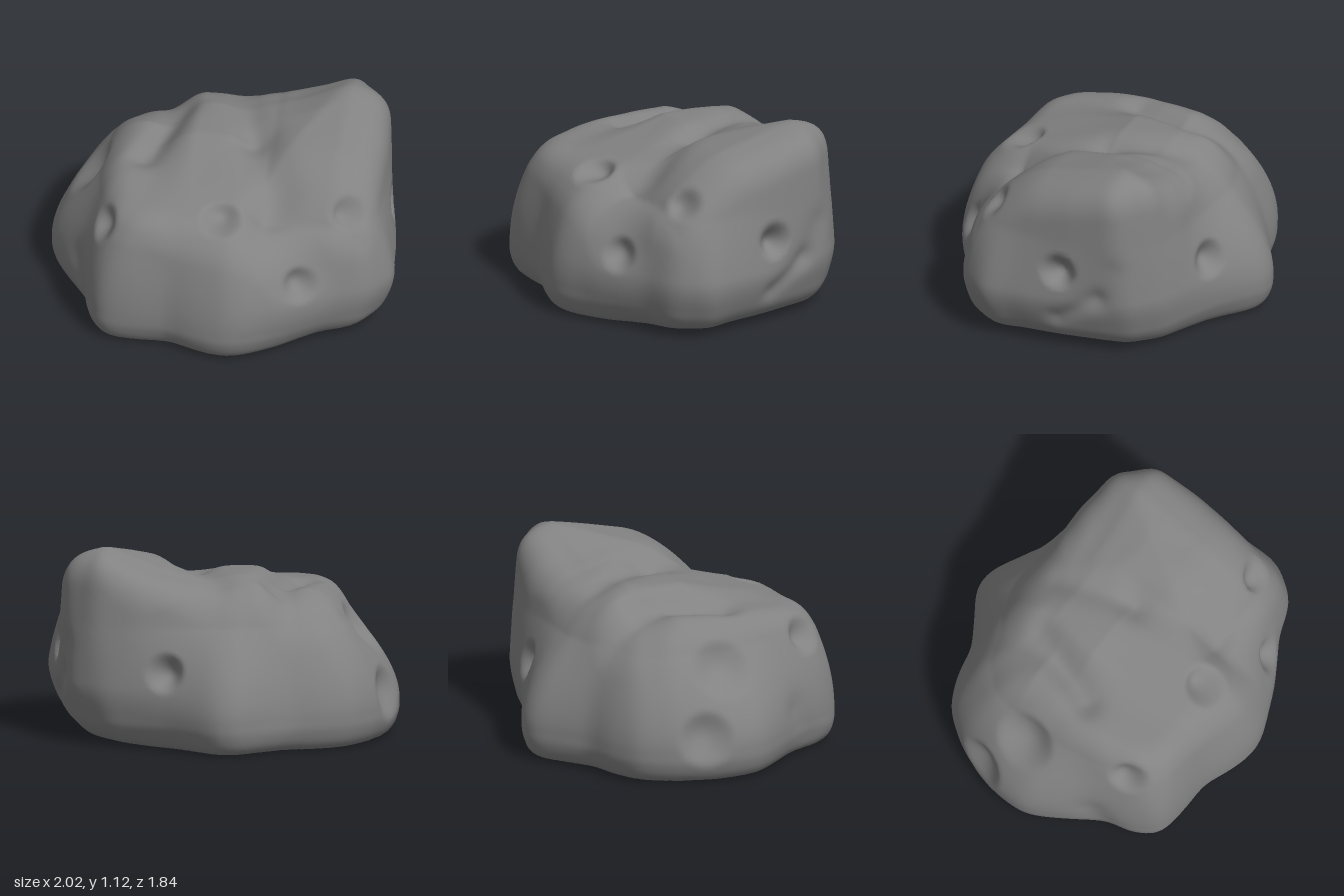
import * as THREE from 'three';
import { mergeVertices } from 'three/addons/utils/BufferGeometryUtils.js';

const V = (x, y, z) => new THREE.Vector3(x, y, z);
const { smoothstep, lerp, clamp } = THREE.MathUtils;
const CORE = V(0, 0.28, 0);

// Plan outlines (x, z) of the foot and, higher up, of the shoulder
const FOOT = outline([
  [0.97, -0.08], [0.99, 0.1], [1.0, 0.28], [1.03, 0.38], [0.89, 0.59], [0.7, 0.65], [0.42, 0.82], [0.22, 0.91],
  [0.1, 0.93], [-0.08, 0.88], [-0.25, 0.81], [-0.48, 0.81], [-0.64, 0.79], [-0.73, 0.65], [-0.81, 0.42], [-0.95, 0.2],
  [-1.01, 0.08], [-1.01, -0.08], [-0.98, -0.25], [-0.89, -0.45], [-0.77, -0.61], [-0.6, -0.69], [-0.42, -0.73],
  [-0.1, -0.93], [0.02, -0.92], [0.2, -0.81], [0.3, -0.76], [0.5, -0.69], [0.68, -0.63], [0.86, -0.48], [0.91, -0.33],
]);
const SHOULDER = outline([
  [0.93, -0.1], [0.93, 0.1], [0.91, 0.32], [0.84, 0.5], [0.58, 0.58], [0.36, 0.68], [0.1, 0.78], [-0.15, 0.75],
  [-0.5, 0.72], [-0.62, 0.62], [-0.68, 0.4], [-0.72, 0.15], [-0.72, -0.1], [-0.69, -0.35], [-0.56, -0.52],
  [-0.3, -0.6], [-0.08, -0.66], [0.2, -0.64], [0.5, -0.63], [0.72, -0.57], [0.89, -0.4],
]);

// Turns a closed outline into a softened table of radii by angle
function outline(points) {
  const n = 160;
  const raw = Array.from({ length: n }, (_, i) => {
    const c = Math.cos((i / n) * 2 * Math.PI), s = Math.sin((i / n) * 2 * Math.PI);
    let radius = 0;
    points.forEach(([ax, az], k) => {
      const [bx, bz] = points[(k + 1) % points.length];
      const da = az * c - ax * s, db = bz * c - bx * s;
      if (da * db > 0 || da === db) return;
      const t = da / (da - db);
      radius = Math.max(radius, lerp(ax, bx, t) * c + lerp(az, bz, t) * s);
    });
    return radius;
  });
  const weights = [1, 2, 3, 2, 1];
  return raw.map((_, i) => weights.reduce((sum, w, k) => sum + (w / 9) * raw[(i + n + k - 2) % n], 0));
}

function radiusAt(table, angle) {
  const n = table.length;
  const u = ((angle / (2 * Math.PI)) * n + n) % n;
  const i = Math.floor(u);
  return lerp(table[i % n], table[(i + 1) % n], u - i);
}

function smoothMax(a, b, k) {
  const h = Math.max(k - Math.abs(a - b), 0) / k;
  return Math.max(a, b) + h * h * k * 0.25;
}

// Distance from a point to a segment
const line = new THREE.Line3(), near = V(0, 0, 0);
function segmentDistance(p, a, b) {
  line.set(a, b).closestPointToPoint(p, true, near);
  return near.distanceTo(p);
}

// Furrows between the lobes of the top: two ends, depth, width
const FURROWS = [
  [V(-0.28, 0, -0.3), V(-0.46, 0, 0.12), 0.05, 0.09],
  [V(0.02, 0, -0.42), V(0.16, 0, 0.0), 0.03, 0.09],
  [V(0.18, 0, 0.02), V(0.34, 0, 0.38), 0.05, 0.12],
];

// Height of the top: low left lobe, middle lobe and high right lobe
function topHeight(x, z) {
  const front = Math.max(0, z);
  const left = 0.865 - 0.1 * front - 0.35 * Math.max(0, -z - 0.2);
  const middle = 0.955 - 0.27 * front - 0.25 * Math.max(0, -z - 0.3);
  // the right lobe tips away from a diagonal crest
  const pastCrest = Math.max(0, 0.87 * (x - 0.6) + 0.5 * (z + 0.3));
  const right = 1.0 + 0.125 * clamp((x - 0.26) / 0.4, 0, 1) - 0.28 * pastCrest
    - 0.09 * Math.max(0, z + 0.3) - 1.2 * clamp(z - 0.1, 0, 0.4) ** 2 - 0.25 * Math.max(0, -z - 0.35);
  let h = lerp(left, middle, smoothstep(x, -0.42, -0.18));
  h = lerp(h, right, smoothstep(x, 0.1, 0.32));
  const flat = V(x, 0, z);
  for (const [a, b, depth, width] of FURROWS) {
    h -= depth * Math.exp(-((segmentDistance(flat, a, b) / width) ** 2));
  }
  return h;
}

// Negative inside the plain boulder, positive outside
function boulder(p) {
  const angle = Math.atan2(p.z, p.x), rho = Math.hypot(p.x, p.z);
  const t = Math.max(0, (p.y - 0.2) / 0.5);
  const bend = t < 1 ? t ** 1.7 : 1 + 1.1 * (t - 1);
  let r = lerp(radiusAt(FOOT, angle), radiusAt(SHOULDER, angle), bend);
  r -= 0.1 * Math.max(0, Math.cos(angle)) * (1 - smoothstep(p.y, 0, 0.36)); // undercut right foot
  r -= 0.035 * (1 - smoothstep(p.y, 0, 0.15));
  const body = smoothMax(rho - r, p.y - topHeight(p.x, p.z), 0.16);
  return smoothMax(body, 0.035 * smoothstep(p.x, 0.3, 0.9) - p.y, 0.08);
}

// First surface point from the core in one direction
function castOut(dir) {
  const p = V(0, 0, 0);
  const at = (s) => boulder(p.copy(dir).multiplyScalar(s).add(CORE));
  let lo = 0, hi = 0.1;
  while (at(hi) < 0 && hi < 2) { lo = hi; hi += 0.04; }
  for (let i = 0; i < 14; i++) {
    const mid = (lo + hi) / 2;
    if (at(mid) < 0) lo = mid; else hi = mid;
  }
  at(lo);
  return p;
}

// Pits and broad hollows: approximate place, radius, depth
const PITS = [
  [V(0.97, 0.53, -0.07), 0.11, 0.1],
  [V(0.32, 0.46, -0.74), 0.12, 0.08],
  [V(0.52, 0.45, 0.72), 0.11, 0.06],
  [V(0.04, 0.74, 0.54), 0.13, 0.08],
  [V(-0.57, 0.63, 0.5), 0.12, 0.07],
  [V(0.75, 0.77, 0.42), 0.11, 0.07],
  [V(-0.77, 0.6, -0.06), 0.19, 0.065],
  [V(-0.93, 0.27, -0.25), 0.17, 0.07],
  [V(0.4, 1.0, -0.42), 0.3, 0.05],
  [V(0.46, 0.55, 0.66), 0.24, 0.025],
];
// Gouges: two ends, width, depth
const GOUGES = [
  [V(0.96, 0.22, -0.06), V(0.93, 0.38, -0.3), 0.06, 0.025],
  [V(0.93, 0.38, -0.3), V(0.88, 0.56, -0.38), 0.08, 0.015],
  [V(-0.8, 0.28, 0.42), V(-0.74, 0.1, 0.5), 0.1, 0.02],
];

const onSurface = (q) => castOut(q.clone().sub(CORE).normalize());

function createBoulderGeometry() {
  let geo = new THREE.IcosahedronGeometry(1, 44);
  geo.deleteAttribute('uv');
  geo.deleteAttribute('normal');
  geo = mergeVertices(geo, 1e-5);

  const pits = PITS.map(([q, r, d]) => [onSurface(q), r, d]);
  const gouges = GOUGES.map(([a, b, w, d]) => [onSurface(a), onSurface(b), w, d]);
  const pos = geo.attributes.position, dir = V(0, 0, 0);

  for (let i = 0; i < pos.count; i++) {
    dir.fromBufferAttribute(pos, i).normalize();
    const p = castOut(dir);
    let push = 0;
    for (const [c, r, depth] of pits) {
      const u = p.distanceTo(c) / r;
      if (u < 1) push -= depth * (1 - u * u) ** 1.5;
    }
    for (const [a, b, w, depth] of gouges) {
      push -= depth * Math.exp(-((segmentDistance(p, a, b) / w) ** 2));
    }
    // gentle weathering on all but the flat underside
    const wear = Math.sin(7 * p.x + 3 * p.y) * Math.sin(6 * p.z - 4 * p.y + 1);
    push += 0.006 * wear * smoothstep(p.y, 0.05, 0.2);
    p.addScaledVector(dir, push);
    pos.setXYZ(i, p.x, p.y, p.z);
  }
  geo.computeVertexNormals();
  return geo;
}

export function createModel() {
  const group = new THREE.Group();
  group.name = 'pittedRock';
  const rock = new THREE.Mesh(createBoulderGeometry(), new THREE.MeshStandardMaterial({ color: 0x828282 }));
  rock.name = 'boulder';
  group.add(rock);
  return group;
}
